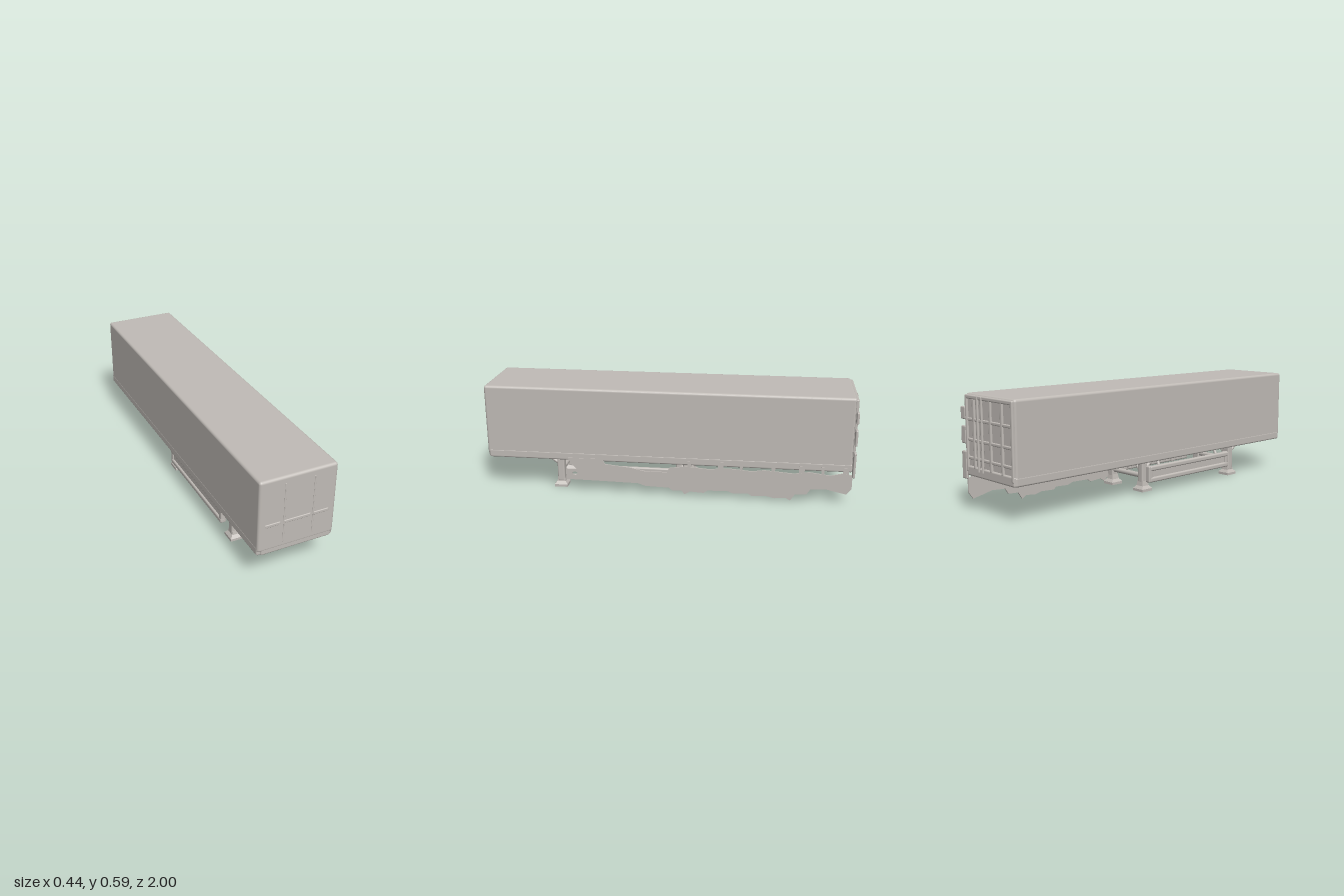
import * as THREE from 'three';
import { RoundedBoxGeometry } from 'three/addons/geometries/RoundedBoxGeometry.js';

export function createModel() {
  const root = new THREE.Group();
  root.name = 'boxTrailer';
  const grey = new THREE.MeshStandardMaterial({ color: 0xc0bbb6, side: THREE.DoubleSide });
  grey.name = 'trailerGrey';

  const add = (name, geo, parent = root) => {
    const m = new THREE.Mesh(geo, grey);
    m.name = name;
    parent.add(m);
    return m;
  };
  // Boxes are given by their limits on each axis
  const box = (name, x0, x1, y0, y1, z0, z1, r = 0, parent = root) => {
    const s = [x1 - x0, y1 - y0, z1 - z0];
    const geo = r ? new RoundedBoxGeometry(...s, 3, r) : new THREE.BoxGeometry(...s);
    const m = add(name, geo, parent);
    m.position.set((x0 + x1) / 2, (y0 + y1) / 2, (z0 + z1) / 2);
    return m;
  };
  const bar = (name, a, b, r, parent = root) => {
    const A = new THREE.Vector3(...a), B = new THREE.Vector3(...b);
    const m = add(name, new THREE.CylinderGeometry(r, r, A.distanceTo(B), 12), parent);
    m.position.copy(A).lerp(B, 0.5);
    m.quaternion.setFromUnitVectors(new THREE.Vector3(0, 1, 0), B.sub(A).normalize());
    return m;
  };

  // Cargo body
  box('cargoBody', -0.218, 0.187, 0.2, 0.587, -0.982, 0.998, 0.014);
  for (const [n, x0, x1] of [['leftRail', 0.165, 0.188], ['rightRail', -0.219, -0.194]])
    box(n, x0, x1, 0.18, 0.226, -0.982, 0.99, 0.009);
  box('frontSill', -0.2, 0.175, 0.18, 0.226, 0.965, 0.997, 0.009);
  box('rearSill', -0.215, 0.185, 0.18, 0.23, -0.99, -0.955, 0.009);

  // Front wall ribs
  for (const [x0, x1] of [[-0.185, -0.105], [-0.088, 0.055], [0.07, 0.15]])
    box('frontRib', x0, x1, 0.333, 0.35, 0.993, 1.002, 0.004);
  for (const x of [-0.085, 0.068])
    box('frontSeam', x - 0.004, x + 0.004, 0.23, 0.55, 0.994, 1.0, 0.002);

  // Rear doors: frame, corrugations, crossbands and lock rods
  const doors = new THREE.Group();
  doors.name = 'rearDoors';
  root.add(doors);
  for (const x of [-0.212, 0.168])
    box('doorPost', x, x + 0.018, 0.2, 0.58, -0.992, -0.975, 0.006, doors);
  box('doorHeader', -0.21, 0.18, 0.56, 0.58, -0.992, -0.975, 0.006, doors);
  for (const x of [-0.12, -0.025, 0.115])
    box('doorRib', x - 0.01, x + 0.01, 0.22, 0.565, -0.991, -0.975, 0.006, doors);
  for (const y of [0.27, 0.36, 0.46])
    box('doorBand', -0.2, 0.17, y - 0.008, y + 0.008, -0.989, -0.975, 0.005, doors);
  for (const x of [0.04, 0.075])
    bar('lockRod', [x, 0.21, -0.989], [x, 0.575, -0.989], 0.007, doors);

  // Hinge flaps on the left rear corner
  for (const [y0, y1] of [[0.16, 0.3], [0.337, 0.425], [0.457, 0.52]])
    box('hingeFlap', 0.18, 0.22, y0, y1, -0.995, -0.981, 0.006);

  // Underside crossmembers and coupling plate
  for (let i = 0; i < 40; i++) {
    const z = -0.935 + i * 0.047;
    box('crossmember', -0.2, 0.17, 0.183, 0.205, z - 0.009, z + 0.009);
  }
  box('couplingPlate', -0.1, 0.08, 0.178, 0.205, 0.6, 0.94, 0.005);
  for (const x of [-0.135, 0.105])
    box('chassisRail', x - 0.012, x + 0.012, 0.176, 0.205, -0.95, 0.95, 0.004);

  // Flared support foot profile
  const footProfile = [[0, 0], [0.046, 0], [0.046, 0.012], [0.03, 0.026], [0.024, 0.05], [0, 0.05]]
    .map(p => new THREE.Vector2(...p));
  const support = (name, z, lift, thick) => {
    const g = new THREE.Group();
    g.name = name;
    root.add(g);
    for (const x of [-0.135, 0.105]) {
      const out = Math.sign(x);
      box('leg', x - thick, x + thick, lift + 0.03, 0.19, z - 0.02, z + 0.02, 0.008, g);
      const foot = add('foot', new THREE.LatheGeometry(footProfile, 4, Math.PI / 4).toNonIndexed(), g);
      foot.geometry.computeVertexNormals();
      foot.position.set(x, lift, z);
      foot.scale.setScalar(1.12);
      bar('diagonalBrace', [x, 0.1, z], [x - out * 0.075, 0.185, z], 0.011, g);
      bar('forwardBrace', [x, 0.12, z], [x, 0.19, z + 0.1], 0.009, g);
    }
    bar('crossBar', [-0.135, 0.094, z], [0.105, 0.094, z], 0.014, g);
  };
  support('landingLegs', 0.605, 0, 0.024);
  support('rearSupports', -0.1, 0.012, 0.019);

  // Central housing between the rear supports
  const housing = add('centreHousing', new THREE.CylinderGeometry(0.07, 0.035, 0.05, 10));
  housing.position.set(-0.005, 0.165, -0.1);
  bar('housingPin', [-0.03, 0.122, -0.1], [-0.03, 0.19, -0.1], 0.014);

  // Right side guard with two raised rails
  const guard = new THREE.Group();
  guard.name = 'rightSideGuard';
  root.add(guard);
  box('guardPanel', -0.178, -0.168, 0.07, 0.14, -0.08, 0.545, 0.004, guard);
  for (const y of [0.073, 0.135])
    box('guardRail', -0.188, -0.163, y - 0.014, y + 0.014, -0.09, 0.555, 0.009, guard);
  for (const z of [-0.085, 0.54])
    box('guardPost', -0.186, -0.155, 0.06, 0.15, z - 0.014, z + 0.014, 0.007, guard);
  for (const z of [0, 0.47])
    bar('guardHanger', [-0.165, 0.13, z], [-0.135, 0.19, z], 0.009, guard);

  // Left inner guard
  box('leftGuardLower', 0.145, 0.165, 0.062, 0.088, -0.08, 0.555, 0.008);
  box('leftGuardUpper', 0.145, 0.165, 0.118, 0.145, -0.08, 0.4, 0.008);
  for (const z of [-0.06, 0.42])
    box('leftGuardHanger', 0.135, 0.165, 0.062, 0.195, z - 0.014, z + 0.014, 0.006);

  // Ragged left skirt, drawn in the (z, y) plane
  const outline = [[0.56, 0.07], [0.4, 0.068], [0.16, 0.064], [0.12, 0.05], [-0.01, 0.046],
    [-0.03, 0.03], [-0.08, 0.032], [-0.095, 0.012], [-0.125, 0.03], [-0.2, 0.025], [-0.22, 0.04],
    [-0.33, 0.042], [-0.36, 0.03], [-0.44, 0.034], [-0.46, 0.02], [-0.54, 0.024], [-0.58, 0.014],
    [-0.64, 0.02], [-0.665, 0.005], [-0.69, 0.042], [-0.75, 0.045], [-0.77, 0.075], [-0.85, 0.08],
    [-0.9, 0.068], [-0.96, 0.055], [-0.985, 0.09], [-0.985, 0.165], [-0.93, 0.172], [-0.87, 0.158],
    [-0.76, 0.172], [-0.68, 0.16], [-0.52, 0.172], [-0.46, 0.162], [-0.34, 0.172], [-0.22, 0.164],
    [-0.1, 0.174], [-0.01, 0.16], [0, 0.135], [0.12, 0.135], [0.2, 0.152], [0.34, 0.166],
    [0.36, 0.195], [0.55, 0.195], [0.53, 0.165], [0.5, 0.13], [0.56, 0.13]];
  const skirtShape = new THREE.Shape(outline.map(p => new THREE.Vector2(-p[0], p[1])));
  const hole = new THREE.Path();
  hole.absellipse(-0.51, 0.106, 0.014, 0.01, 0, Math.PI * 2, true);
  skirtShape.holes.push(hole);
  const skirt = add('leftSkirt', new THREE.ExtrudeGeometry(skirtShape,
    { depth: 0.007, bevelEnabled: false, curveSegments: 8 }));
  skirt.rotation.y = Math.PI / 2;
  skirt.position.x = 0.184;
  // Short tabs that hold the skirt to the body
  for (const [z, w] of [[-0.12, 0.02], [-0.29, 0.03], [-0.4, 0.015], [-0.57, 0.02], [-0.72, 0.03], [-0.83, 0.015], [-0.95, 0.03]])
    box('skirtTab', 0.183, 0.19, 0.15, 0.205, z - w / 2, z + w / 2);

  return root;
}
